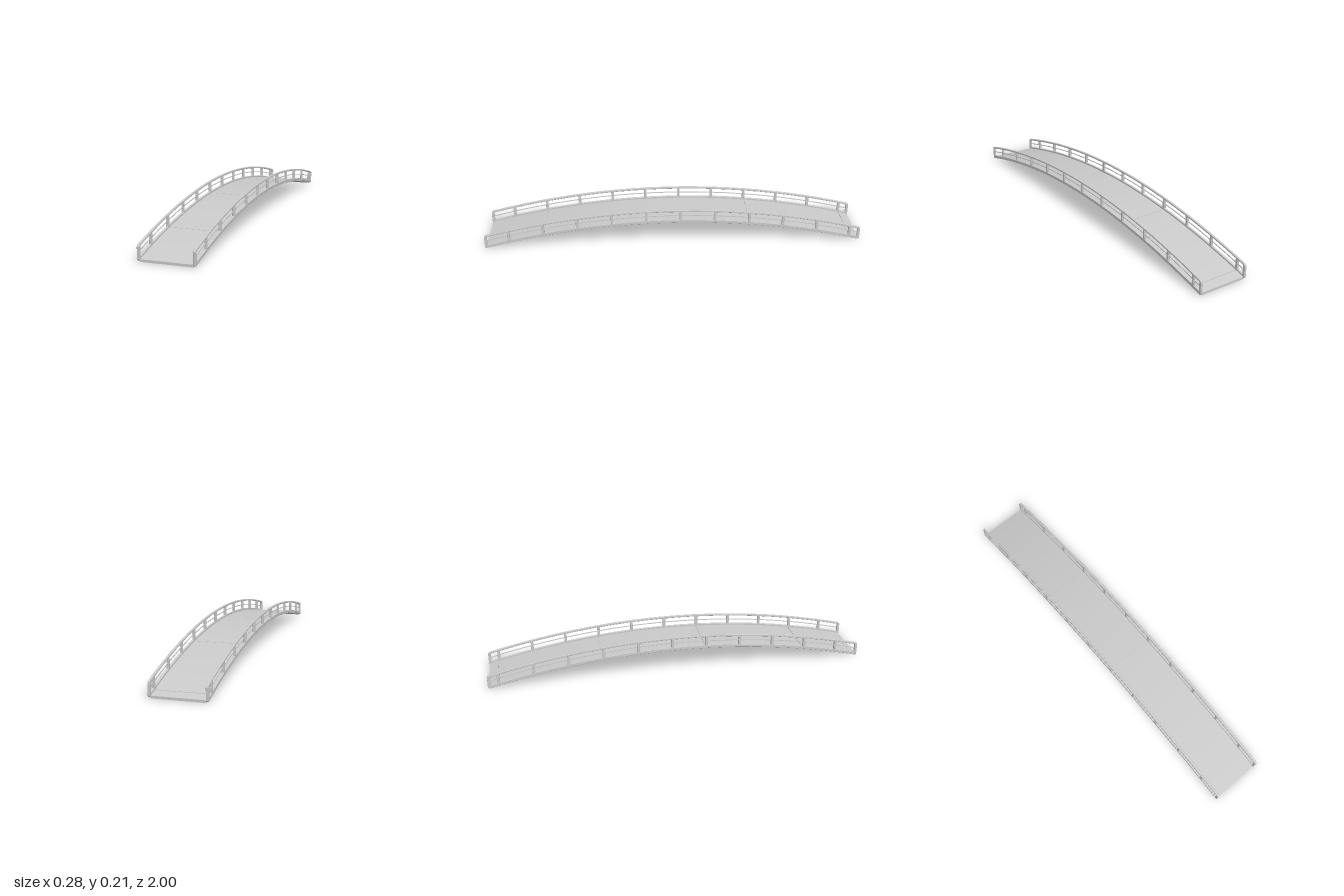
import * as THREE from 'three';

const material = new THREE.MeshStandardMaterial({ color: 0xcccccc, flatShading: true });

// Height of the walking surface along the span
const arch = z => 0.141 - 0.129 * z * z;

// Closed outline following the arch between z0 and z1, from offset lo to offset hi
function outline(z0, z1, lo, hi, corner = 0) {
  const n = Math.max(2, Math.ceil((z1 - z0) / 0.09));
  const pts = [];
  const run = (a, b, off) => {
    for (let i = 0; i <= n; i++) {
      const z = a + (b - a) * i / n;
      pts.push(new THREE.Vector2(z, arch(z) + off));
    }
  };
  const c = corner;
  run(z0 + c, z1 - c, lo);
  if (c) pts.push(new THREE.Vector2(z1 - c * 0.3, arch(z1) + lo + c * 0.3),
    new THREE.Vector2(z1, arch(z1) + lo + c), new THREE.Vector2(z1, arch(z1) + hi - c),
    new THREE.Vector2(z1 - c * 0.3, arch(z1) + hi - c * 0.3));
  run(z1 - c, z0 + c, hi);
  if (c) pts.push(new THREE.Vector2(z0 + c * 0.3, arch(z0) + hi - c * 0.3),
    new THREE.Vector2(z0, arch(z0) + hi - c), new THREE.Vector2(z0, arch(z0) + lo + c),
    new THREE.Vector2(z0 + c * 0.3, arch(z0) + lo + c * 0.3));
  return pts;
}

// Side outline extruded across the bridge, centred on x
function slab(name, shape, width, x = 0, bevel = 0) {
  const geo = new THREE.ExtrudeGeometry(shape, {
    depth: width - 2 * bevel, bevelEnabled: bevel > 0, bevelSize: bevel,
    bevelThickness: bevel, bevelOffset: -bevel, bevelSegments: 1,
  });
  geo.translate(0, 0, -(width - 2 * bevel) / 2).rotateY(-Math.PI / 2).translate(x, 0, 0);
  const mesh = new THREE.Mesh(geo, material);
  mesh.name = name;
  return mesh;
}

export function createModel() {
  const bridge = new THREE.Group();
  bridge.name = 'archedFootbridge';

  // Continuous under-deck with surface panels separated by narrow seams
  bridge.add(slab('deckBase', new THREE.Shape(outline(-0.995, 0.995, -0.012, -0.003)), 0.252));
  const seams = [-0.995, -0.946, -0.403, 0.14, 0.683, 0.995];
  for (let i = 0; i < seams.length - 1; i++) {
    const a = seams[i] + (i ? 0.0015 : 0);
    const b = seams[i + 1] - (i < seams.length - 2 ? 0.0015 : 0);
    bridge.add(slab('deckPanel', new THREE.Shape(outline(a, b, -0.003, 0)), 0.252));
  }

  // Post centres: evenly spaced along the span, plus one at each end
  const posts = [-0.993];
  for (let i = 0; i < 11; i++) posts.push(-0.944 + i * 0.1815);
  posts.push(0.993);

  for (const side of [-1, 1]) {
    const railing = new THREE.Group();
    railing.name = side > 0 ? 'leftRailing' : 'rightRailing';

    // Kerb, posts and handrail as one frame with openings
    const frame = new THREE.Shape(outline(-1, 1, -0.008, 0.066, 0.009));
    for (let i = 0; i < posts.length - 1; i++) {
      frame.holes.push(new THREE.Path(
        outline(posts[i] + 0.007, posts[i + 1] - 0.007, 0.009, 0.056).reverse()));
    }
    railing.add(slab('railingFrame', frame, 0.012, side * 0.131, 0.0015));

    // Thin middle rail
    railing.add(slab('middleRail', new THREE.Shape(outline(-0.992, 0.992, 0.031, 0.035)),
      0.004, side * 0.131));

    // Slim caps on the outside of the posts
    for (const z of posts.slice(1, -1)) {
      const cap = new THREE.Mesh(new THREE.BoxGeometry(0.002, 0.052, 0.009), material);
      cap.name = 'postCap';
      cap.position.set(side * 0.137, arch(z) + 0.032, z);
      railing.add(cap);
    }
    bridge.add(railing);
  }
  return bridge;
}
